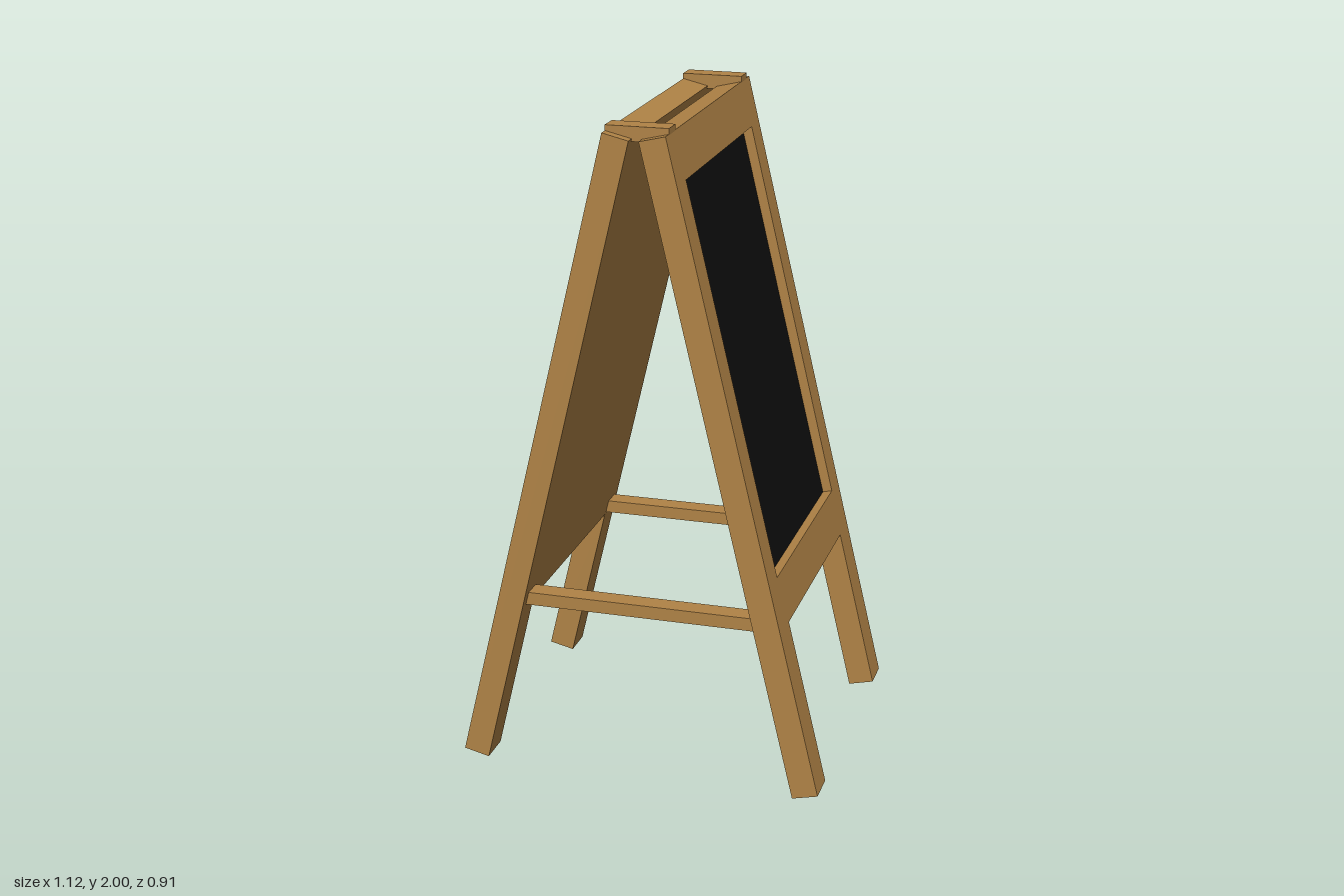
import * as THREE from 'three';

const wood = new THREE.MeshStandardMaterial({ color: 0xb08346 });
wood.name = 'wood';
const slate = new THREE.MeshStandardMaterial({ color: 0x0e0e0e });
slate.name = 'slate';

const TILT = 0.2336;      // lean of each panel
const THICK = 0.08;       // panel thickness
const HEIGHT = 2.02;      // panel length along its slope
const HALF = 0.457;       // half width of a panel
const LEG_IN = 0.353;     // inner side of the legs
const RAIL = 0.522;       // underside of the lower rail
const OPEN = { half: 0.367, bottom: 0.67, top: 1.877 };
const RECESS = 0.03;      // how deep the writing surface sits

function box(name, material, size, position) {
  const mesh = new THREE.Mesh(new THREE.BoxGeometry(...size), material);
  mesh.name = name;
  mesh.position.set(...position);
  return mesh;
}

const points = (list) => list.map(([x, y]) => new THREE.Vector2(x, y));

// One leaning panel: frame with legs, backing and writing surface.
// Local origin is the outer bottom edge; +x is the outward side.
function createPanel(name) {
  const panel = new THREE.Group();
  panel.name = name;

  const outline = new THREE.Shape(points([
    [-HALF, 0], [-LEG_IN, 0], [-LEG_IN, RAIL], [LEG_IN, RAIL],
    [LEG_IN, 0], [HALF, 0], [HALF, HEIGHT], [-HALF, HEIGHT],
  ]));
  outline.holes.push(new THREE.Path(points([
    [-OPEN.half, OPEN.bottom], [-OPEN.half, OPEN.top],
    [OPEN.half, OPEN.top], [OPEN.half, OPEN.bottom],
  ])));
  const geometry = new THREE.ExtrudeGeometry(outline, { depth: THICK, bevelEnabled: false });
  geometry.rotateY(Math.PI / 2).translate(-THICK, 0, 0);
  const frame = new THREE.Mesh(geometry, wood);
  frame.name = 'frame';

  const h = OPEN.top - OPEN.bottom;
  const midY = (OPEN.top + OPEN.bottom) / 2;
  const plate = 0.008;
  const backDepth = THICK - RECESS - plate;
  panel.add(
    frame,
    box('backing', wood, [backDepth, h, OPEN.half * 2], [-THICK + backDepth / 2, midY, 0]),
    box('writingSurface', slate, [plate, h, OPEN.half * 2], [-RECESS - plate / 2, midY, 0]),
  );
  panel.position.set(0.56, 0.0185, 0);
  panel.rotation.z = TILT;
  return panel;
}

export function createModel() {
  const model = new THREE.Group();
  model.name = 'sandwichBoard';

  // Two panels, the second turned half way round
  const rightSide = new THREE.Group();
  rightSide.name = 'oppositeSide';
  rightSide.rotation.y = Math.PI;
  rightSide.add(createPanel('rightPanel'));
  model.add(createPanel('leftPanel'), rightSide);

  // Top hinge blocks and lower braces at the front and back
  for (const [side, label] of [[1, 'front'], [-1, 'back']]) {
    const z = side * 0.393;
    model.add(
      box(label + 'HingeBlock', wood, [0.186, 0.043, 0.064], [0, 1.9785, z]),
      box(label + 'Brace', wood, [0.74, 0.04, 0.064], [0, 0.535, z]),
    );
  }
  return model;
}
